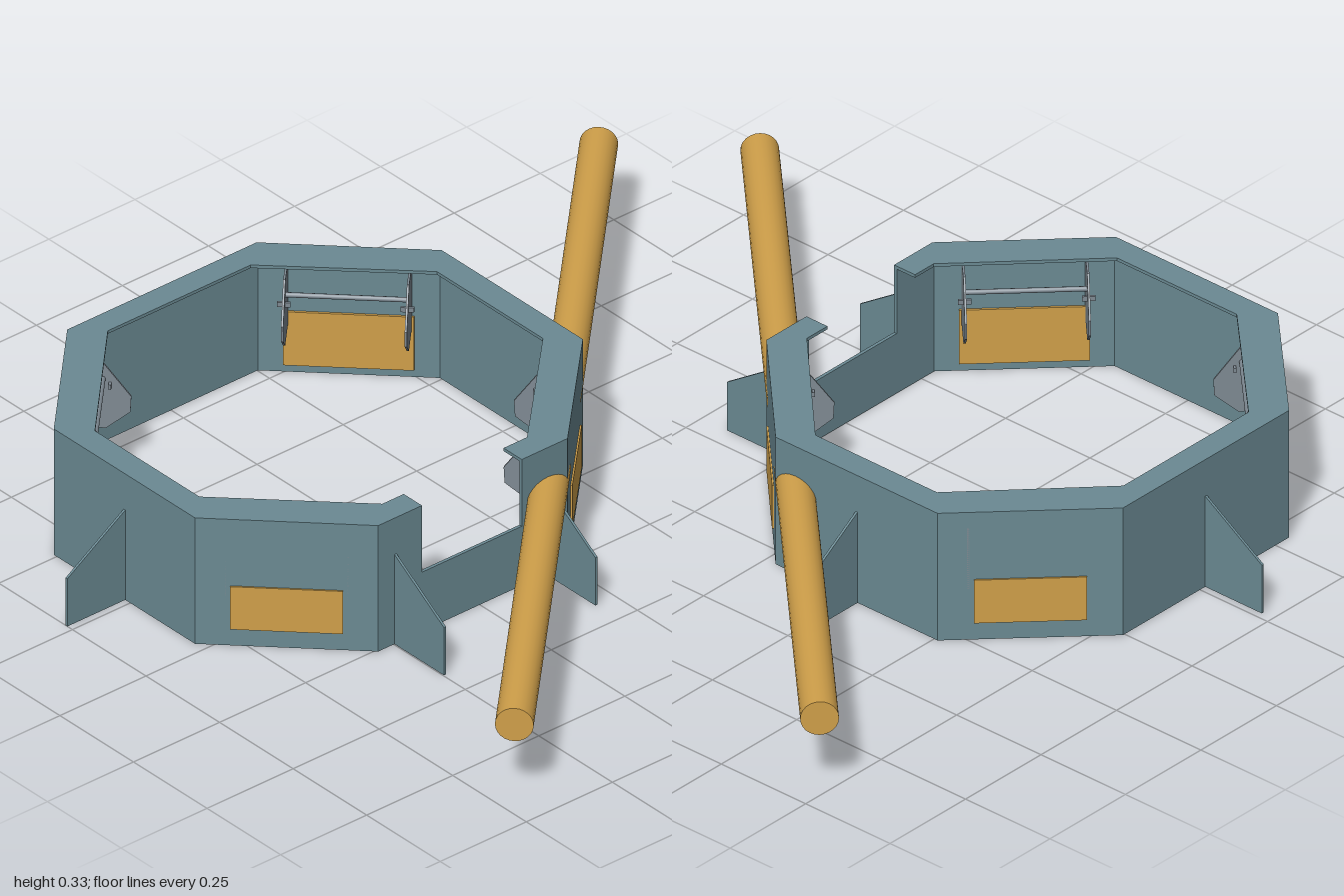
import * as THREE from 'three';

const teal = new THREE.MeshStandardMaterial({ color: 0x6b8a93, side: THREE.DoubleSide });
const ochre = new THREE.MeshStandardMaterial({ color: 0xd0a04a });
const grey = new THREE.MeshStandardMaterial({ color: 0x7f8a93, side: THREE.DoubleSide });

const HEIGHT = 0.33, THICK = 0.008;

// corners of the octagon as [x, z], starting at the front and going around
const OUTER = [[0.005, 0.257], [0.295, -0.03], [0.295, -0.51], [0.005, -0.8],
  [-0.545, -0.8], [-0.832, -0.51], [-0.832, -0.03], [-0.545, 0.257]];
const INNER = [[-0.06, 0.195], [0.23, -0.09], [0.23, -0.45], [-0.065, -0.738],
  [-0.48, -0.738], [-0.768, -0.445], [-0.768, -0.09], [-0.48, 0.195]];

function slab(points, depth) {
  const shape = new THREE.Shape(points.map(([x, y]) => new THREE.Vector2(x, y)));
  return new THREE.ExtrudeGeometry(shape, { depth, bevelEnabled: false });
}

function add(parent, name, geometry, material, x = 0, y = 0, z = 0) {
  const mesh = new THREE.Mesh(geometry, material);
  mesh.name = name;
  mesh.position.set(x, y, z);
  parent.add(mesh);
  return mesh;
}

// hatch with its inner door, side brackets and hinge bar; +z points outward
function addHatch(side) {
  add(side, 'hatchPanel', new THREE.BoxGeometry(0.25, 0.112, 0.006), ochre, 0, 0.1, 0.001);
  add(side, 'hatchDoor', new THREE.BoxGeometry(0.29, 0.14, 0.006), ochre, 0, 0.09, -0.011);
  const profile = [[0, 0.13], [0.09, 0.12], [0.145, 0.165], [0.147, 0.205], [0.085, 0.29], [0, 0.29]];
  for (const s of [-1, 1]) {
    const plate = slab(profile, 0.005);
    plate.translate(0, 0, -0.0025);
    plate.rotateY(Math.PI / 2);
    add(side, 'hatchBracket', plate, grey, s * 0.137);
    add(side, 'hingePeg', new THREE.BoxGeometry(0.03, 0.012, 0.006), grey, s * 0.137, 0.235, -0.1);
  }
  const bar = new THREE.CylinderGeometry(0.006, 0.006, 0.274, 8);
  bar.rotateZ(Math.PI / 2);
  add(side, 'hingeBar', bar, grey, 0, 0.25, -0.084);
}

// buttress fin standing out from a wall
function addFin(side, x) {
  const fin = slab([[0, 0], [0.168, 0], [0.168, 0.125], [0, 0.235]], 0.006);
  fin.translate(0, 0, -0.003);
  fin.rotateY(-Math.PI / 2);
  add(side, 'fin', fin, teal, x);
}

export function createModel() {
  const model = new THREE.Group();
  model.name = 'octagonalEnclosure';

  // walls: side 7 is the front with its lowered opening, even sides carry hatches
  OUTER.forEach(([ax, az], i) => {
    const [bx, bz] = OUTER[(i + 1) % 8];
    const side = new THREE.Group();
    side.name = 'wallSide';
    const dx = bx - ax, dz = bz - az, half = Math.hypot(dx, dz) / 2;
    side.position.set((ax + bx) / 2, 0, (az + bz) / 2);
    side.rotation.y = Math.atan2(-dz, dx);
    const top = [[half, HEIGHT], [-half, HEIGHT]];
    if (i === 7) {
      top.splice(1, 0, [0.142, HEIGHT], [0.142, 0.155], [-0.148, 0.155], [-0.148, HEIGHT]);
    }
    side.rotation.y = Math.atan2(-dz, dx);
    const wall = slab([[-half, 0], [half, 0], ...top], THICK);
    // keep the wall thickness inside the outline
    wall.translate(0, 0, -THICK);
    const outward = new THREE.Vector3(0, 0, 1).applyAxisAngle(new THREE.Vector3(0, 1, 0), side.rotation.y);
    if (outward.x * (side.position.x + 0.27) + outward.z * (side.position.z + 0.27) < 0) side.rotation.y += Math.PI;
    add(side, 'wall', wall, teal);
    if (i % 2 === 0) addHatch(side);
    else if (i === 7) [-0.225, 0.215].forEach((x) => addFin(side, x));
    else addFin(side, 0);
    model.add(side);
  });

  // rim flange, open at the front gap
  const rim = slab([[-0.128, 0.257], ...OUTER, [-0.418, 0.257], [-0.418, 0.195],
    ...INNER.slice().reverse(), [-0.128, 0.195]], THICK);
  rim.rotateX(Math.PI / 2);
  add(model, 'rimFlange', rim, teal, 0, HEIGHT, 0);

  // long pole in two halves, interrupted behind the hatch
  const pole = new THREE.Group();
  pole.name = 'pole';
  pole.position.set(0.1025, 0.21, 0.1025);
  pole.rotation.y = Math.PI / 4;
  for (const [from, to] of [[-1.17, -0.112], [0.162, 1.22]]) {
    const half = new THREE.CylinderGeometry(0.043, 0.043, to - from, 24);
    half.rotateZ(Math.PI / 2);
    add(pole, 'poleHalf', half, ochre, (from + to) / 2);
  }
  model.add(pole);
  return model;
}
